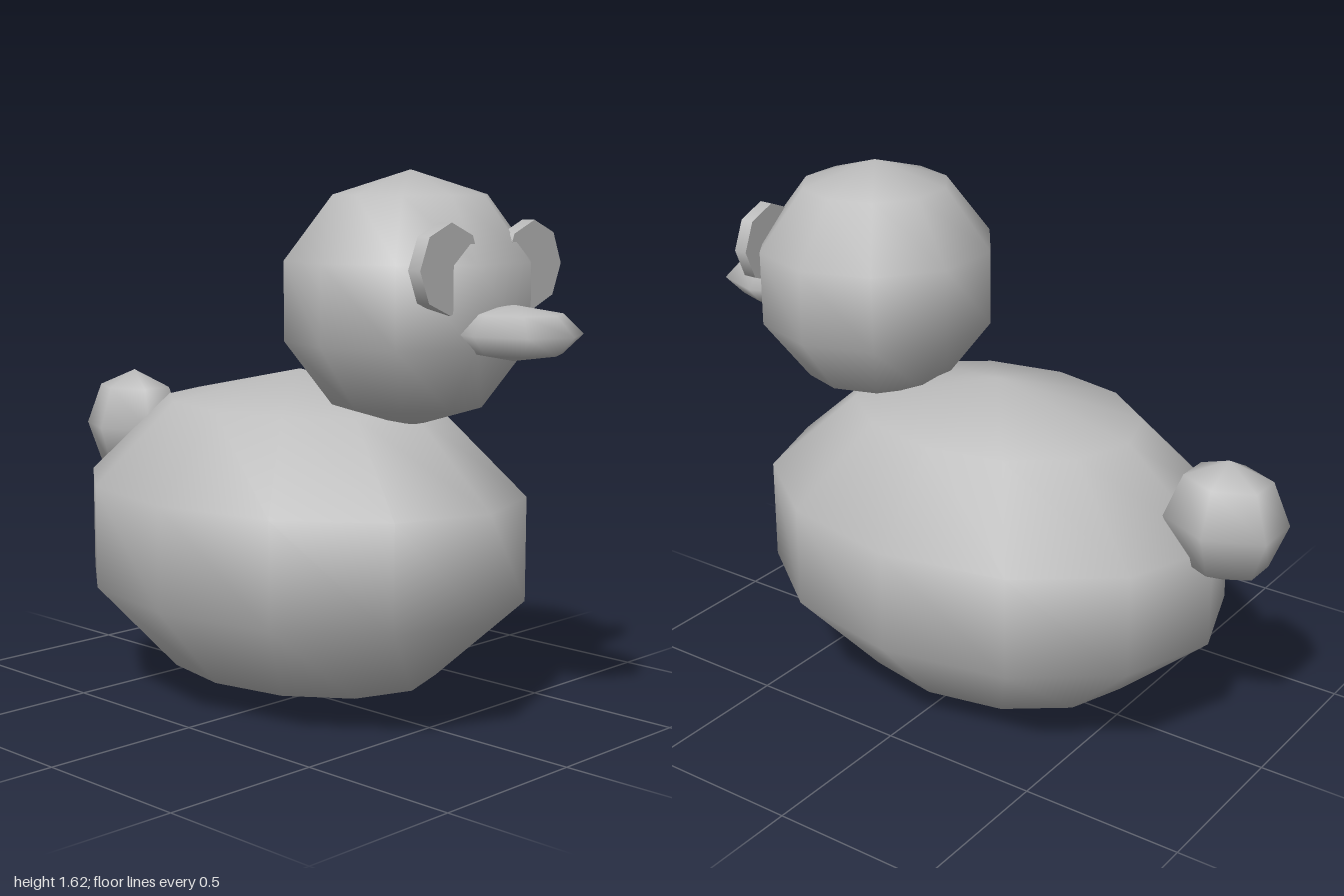
import * as THREE from 'three';

export function createModel() {
  const duck = new THREE.Group();
  duck.name = 'duck';
  const grey = new THREE.MeshStandardMaterial({ color: 0xbcbcbc });
  grey.name = 'plain grey';

  function add(name, geometry, x, y, z) {
    const mesh = new THREE.Mesh(geometry, grey);
    mesh.name = name;
    mesh.position.set(x, y, z);
    duck.add(mesh);
    return mesh;
  }

  // Low-poly ellipsoid whose seam starts on the z axis, so corners point to +z and -z
  function ellipsoid(rx, ry, rz, around, rings) {
    return new THREE.SphereGeometry(1, around, rings, Math.PI / 2).scale(rx, ry, rz);
  }

  add('body', ellipsoid(0.8, 0.51, 0.607, 12, 5), -0.04, 0.511, 0);
  add('head', ellipsoid(0.384, 0.37, 0.384, 10, 5), 0.408, 1.255, 0);
  add('tail', ellipsoid(0.19, 0.188, 0.147, 6, 4), -0.835, 0.768, 0);
  add('beak', ellipsoid(0.205, 0.077, 0.173, 8, 4), 0.79, 1.183, 0);

  // Eight-sided eye discs facing forward along +x
  for (const side of [1, -1]) {
    const disc = new THREE.CylinderGeometry(0.125, 0.125, 0.043, 8).rotateZ(-Math.PI / 2);
    add(side > 0 ? 'rightEye' : 'leftEye', disc, 0.694, 1.36, side * 0.178);
  }

  return duck;
}
